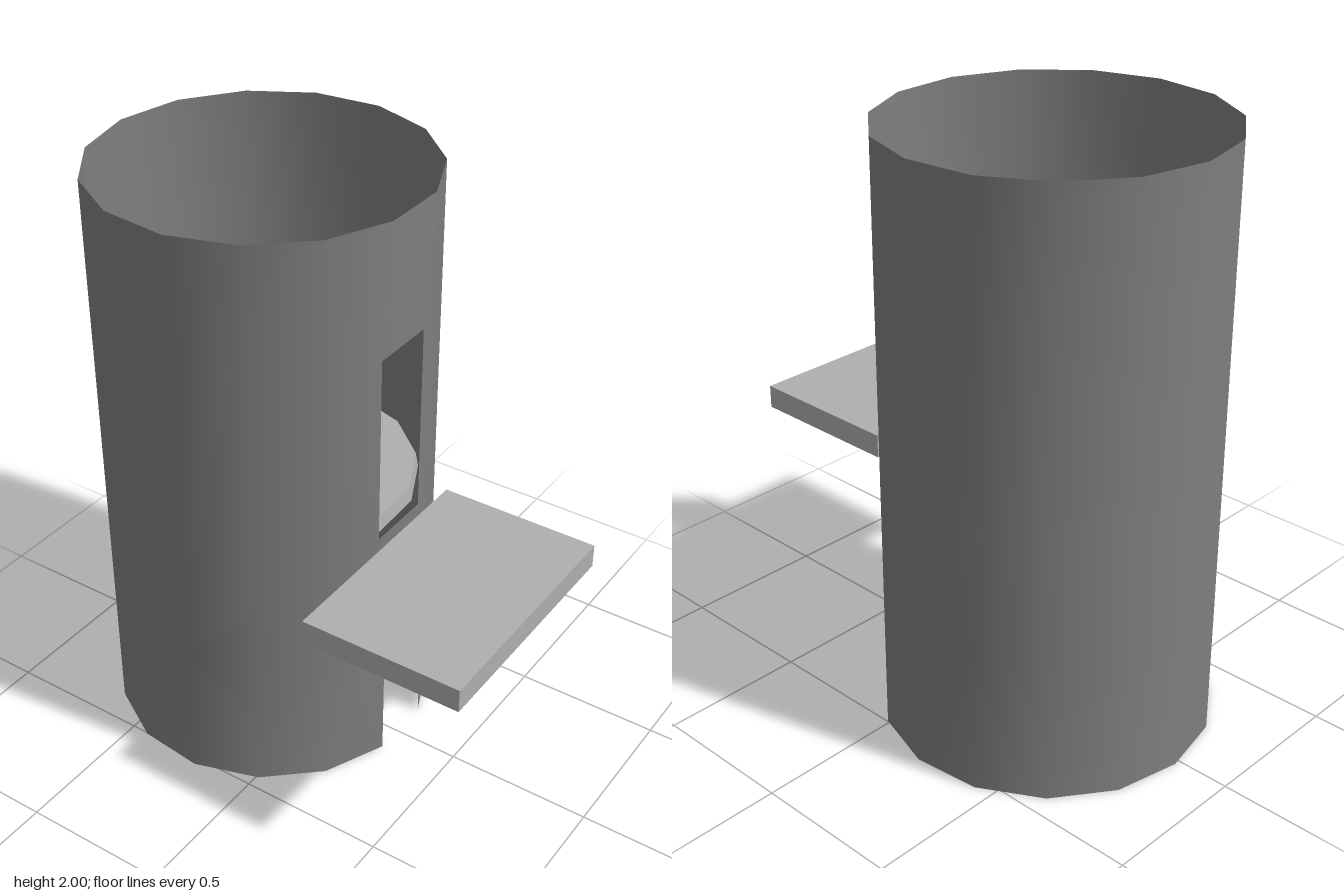
import * as THREE from 'three';

const SIDES = 15;
const CX = -0.267, CZ = -0.02, RADIUS = 0.551;
const WALL_GREY = 0x7f7f7f, FLOOR_GREY = 0xafafaf;

const paint = (color, options = {}) =>
  new THREE.MeshStandardMaterial({ color, side: THREE.DoubleSide, ...options });

// Open tube of thin wall; one facet (facing +x) is left out for the doorway and the window
function towerWallGeometry() {
  const rows = [0, 0.485, 0.92, 1.567, 2];
  const openRows = [0, 2]; // doorway, window
  const windowShift = 0.048; // the window is slightly skewed sideways
  const positions = [], index = [];
  rows.forEach((y, r) => {
    for (let i = 0; i < SIDES; i++) {
      const a = ((i + 0.5) / SIDES) * Math.PI * 2;
      const besideOpening = i === 0 || i === SIDES - 1;
      const shift = besideOpening && (r === 2 || r === 3) ? windowShift : 0;
      positions.push(CX + RADIUS * Math.cos(a), y, CZ + RADIUS * Math.sin(a) + shift);
    }
  });
  for (let r = 0; r < rows.length - 1; r++) {
    for (let i = 0; i < SIDES; i++) {
      if (i === SIDES - 1 && openRows.includes(r)) continue;
      const a = r * SIDES + i, b = r * SIDES + ((i + 1) % SIDES);
      index.push(a, a + SIDES, b, b, a + SIDES, b + SIDES);
    }
  }
  const geometry = new THREE.BufferGeometry();
  geometry.setAttribute('position', new THREE.Float32BufferAttribute(positions, 3));
  geometry.setIndex(index);
  geometry.computeVertexNormals();
  return geometry;
}

// Box shell with no underside
function openBottomBox(w, h, d) {
  const geometry = new THREE.BoxGeometry(w, h, d);
  const index = Array.from(geometry.index.array);
  index.splice(18, 6);
  geometry.clearGroups();
  geometry.setIndex(index);
  return geometry;
}

export function createModel() {
  const model = new THREE.Group();
  model.name = 'tower';
  const add = (name, geometry, material, x = 0, y = 0, z = 0) => {
    const mesh = new THREE.Mesh(geometry, material);
    mesh.name = name;
    mesh.position.set(x, y, z);
    model.add(mesh);
  };

  add('towerWall', towerWallGeometry(), paint(WALL_GREY));

  // Upper floor inside the tower, with a slightly flared rim
  const floorProfile = [[0.497, 0.88], [0.488, 0.93], [0, 0.93]].map(([x, y]) => new THREE.Vector2(x, y));
  const floor = new THREE.LatheGeometry(floorProfile, SIDES, THREE.MathUtils.degToRad(8));
  add('upperFloor', floor, paint(FLOOR_GREY, { flatShading: true }), CX, 0, CZ);

  // Balcony slab below the window
  add('balcony', openBottomBox(0.545, 0.08, 0.825), paint(FLOOR_GREY), 0.5475, 0.837, 0.15);

  return model;
}
